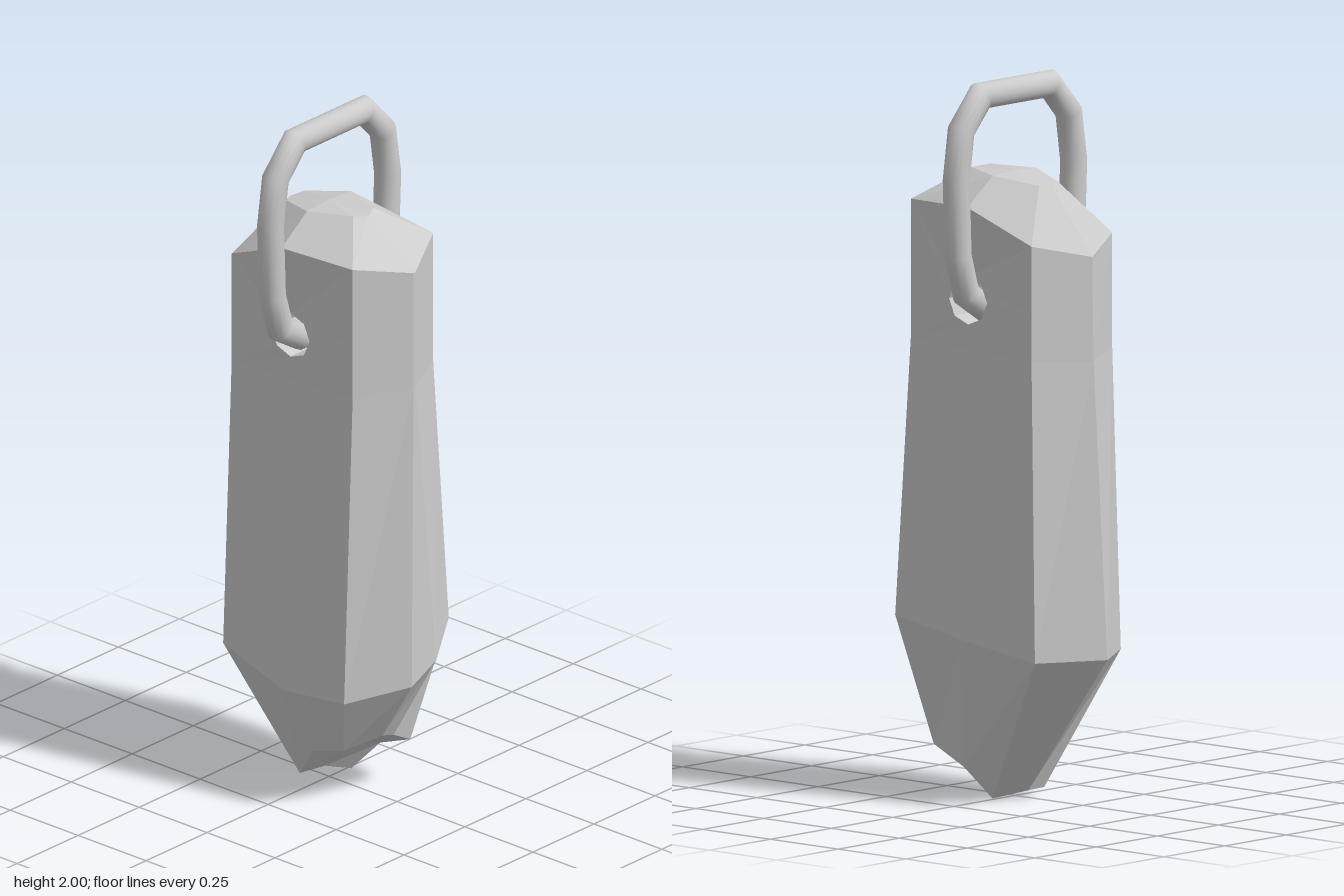
import * as THREE from 'three';

const V = (x, y, z) => new THREE.Vector3(x, y, z);
const grey = (flat) => new THREE.MeshStandardMaterial({ color: 0xcccccc, flatShading: flat });

// Cross-sections of the crystal, each running left side, front, right side, back
const ring = (pts) => pts.map((p) => V(...p));
const tipRing = ring([[-0.05, 0.025, 0], [-0.045, 0.025, 0.07], [0.04, 0.13, 0.11], [0.16, 0.17, 0.12],
  [0.215, 0.2, 0.02], [0.22, 0.19, -0.02], [0.2, 0.14, -0.11], [0.08, 0.09, -0.12], [0.01, 0.005, -0.08]]);
const hipRing = ring([[-0.35, 0.42, -0.01], [-0.21, 0.41, 0.2], [0.01, 0.335, 0.2], [0.235, 0.36, 0.2],
  [0.34, 0.39, 0.04], [0.345, 0.44, -0.055], [0.27, 0.5, -0.19], [0.01, 0.46, -0.205], [-0.245, 0.42, -0.19]]);
const neckRing = ring([[-0.29, 1.24, 0], [-0.21, 1.25, 0.165], [0.01, 1.26, 0.175], [0.235, 1.27, 0.165],
  [0.315, 1.27, 0.004], [0.315, 1.27, -0.004], [0.235, 1.27, -0.165], [0.01, 1.26, -0.175], [-0.21, 1.25, -0.165]]);
const shoulderRing = ring([[-0.285, 1.53, 0], [-0.21, 1.57, 0.165], [0, 1.66, 0.195], [0.235, 1.655, 0.165],
  [0.314, 1.615, 0.004], [0.314, 1.615, -0.004], [0.235, 1.655, -0.165], [0, 1.66, -0.195], [-0.21, 1.57, -0.165]]);
const crownRing = ring([[-0.14, 1.71, 0], [-0.125, 1.715, 0.04], [0, 1.735, 0.09], [0.125, 1.74, 0.04],
  [0.145, 1.735, 0.004], [0.145, 1.735, -0.004], [0.125, 1.74, -0.04], [0, 1.735, -0.09], [-0.125, 1.715, -0.04]]);

function crystalGeometry() {
  const pos = [];
  const tri = (...p) => p.forEach((v) => pos.push(v.x, v.y, v.z));
  const quad = (a, b, c, d) => { tri(a, b, c); tri(a, c, d); };
  const band = (lo, hi, columns) => columns.forEach((i) => {
    const j = (i + 1) % 9;
    quad(lo[i], lo[j], hi[j], hi[i]);
  });
  const all = [0, 1, 2, 3, 4, 5, 6, 7, 8];

  // Tapering body, crown and the plain sides beside the drilled faces
  band(tipRing, hipRing, all);
  band(hipRing, neckRing, all);
  band(neckRing, shoulderRing, [0, 3, 4, 5, 8]);
  band(shoulderRing, crownRing, all);
  const top = V(0, 1.74, 0);
  all.forEach((i) => tri(crownRing[i], crownRing[(i + 1) % 9], top));

  // Front and back faces pierced by an eight-sided hole
  const border = (l, m, r) => {
    const mid = (i) => neckRing[i].clone().lerp(shoulderRing[i], 0.4);
    return [mid(r), shoulderRing[r], shoulderRing[m], shoulderRing[l], mid(l), neckRing[l], neckRing[m], neckRing[r]];
  };
  const hole = (z) => Array.from({ length: 8 }, (_, k) =>
    V(0.015 + 0.07 * Math.cos(k * Math.PI / 4), 1.397 + 0.066 * Math.sin(k * Math.PI / 4), z));
  const front = border(1, 2, 3), back = border(8, 7, 6);
  const holeF = hole(0.175), holeB = hole(-0.175);
  for (let k = 0; k < 8; k++) {
    const n = (k + 1) % 8;
    quad(front[k], front[n], holeF[n], holeF[k]);
    quad(back[n], back[k], holeB[k], holeB[n]);
    quad(holeF[k], holeF[n], holeB[n], holeB[k]);
  }

  // Chipped shelf and wedge under the tip
  const [L, FL, FM, FR, Rf, Rb, BR, BM, BL] = tipRing;
  const shelf = V(0.09, 0.13, 0), tip = V(-0.01, 0.035, 0);
  quad(Rf, FR, FM, shelf);
  tri(Rb, Rf, shelf);
  quad(BR, Rb, shelf, BM);
  quad(shelf, FM, FL, tip);
  quad(BM, shelf, tip, BL);
  tri(tip, FL, L);
  tri(BL, tip, L);

  const g = new THREE.BufferGeometry();
  g.setAttribute('position', new THREE.Float32BufferAttribute(pos, 3));
  g.computeVertexNormals();
  return g;
}

// Closed round wire with mitred corners, following (z, y) points
function wireGeometry(path, radius, sides) {
  const pos = [], index = [], n = path.length;
  const pts = path.map(([z, y]) => new THREE.Vector2(z, y));
  pts.forEach((p, i) => {
    const d0 = p.clone().sub(pts[(i + n - 1) % n]).normalize();
    const d1 = pts[(i + 1) % n].clone().sub(p).normalize();
    const t = d0.clone().add(d1).normalize();
    const miter = radius / t.dot(d1);
    for (let k = 0; k < sides; k++) {
      const a = k / sides * Math.PI * 2, s = Math.sin(a) * miter;
      pos.push(Math.cos(a) * radius, p.y + t.x * s, p.x - t.y * s);
      const b = i * sides, c = ((i + 1) % n) * sides, k1 = (k + 1) % sides;
      index.push(b + k, c + k1, c + k, b + k, b + k1, c + k1);
    }
  });
  const g = new THREE.BufferGeometry();
  g.setAttribute('position', new THREE.Float32BufferAttribute(pos, 3));
  g.setIndex(index);
  g.computeVertexNormals();
  return g;
}

export function createModel() {
  const model = new THREE.Group();
  model.name = 'crystalPendant';

  const crystal = new THREE.Mesh(crystalGeometry(), grey(true));
  crystal.name = 'crystal';

  // Hanging loop: one half, mirrored front to back
  const half = [[0.14, 1.963], [0.22, 1.875], [0.24, 1.74], [0.232, 1.53], [0.2, 1.42], [0.12, 1.37]];
  const path = [...half, ...half.map(([z, y]) => [-z, y]).reverse()];
  const loop = new THREE.Mesh(wireGeometry(path, 0.037, 16), grey(false));
  loop.material.side = THREE.DoubleSide;
  loop.name = 'hangingLoop';

  model.add(crystal, loop);
  return model;
}
